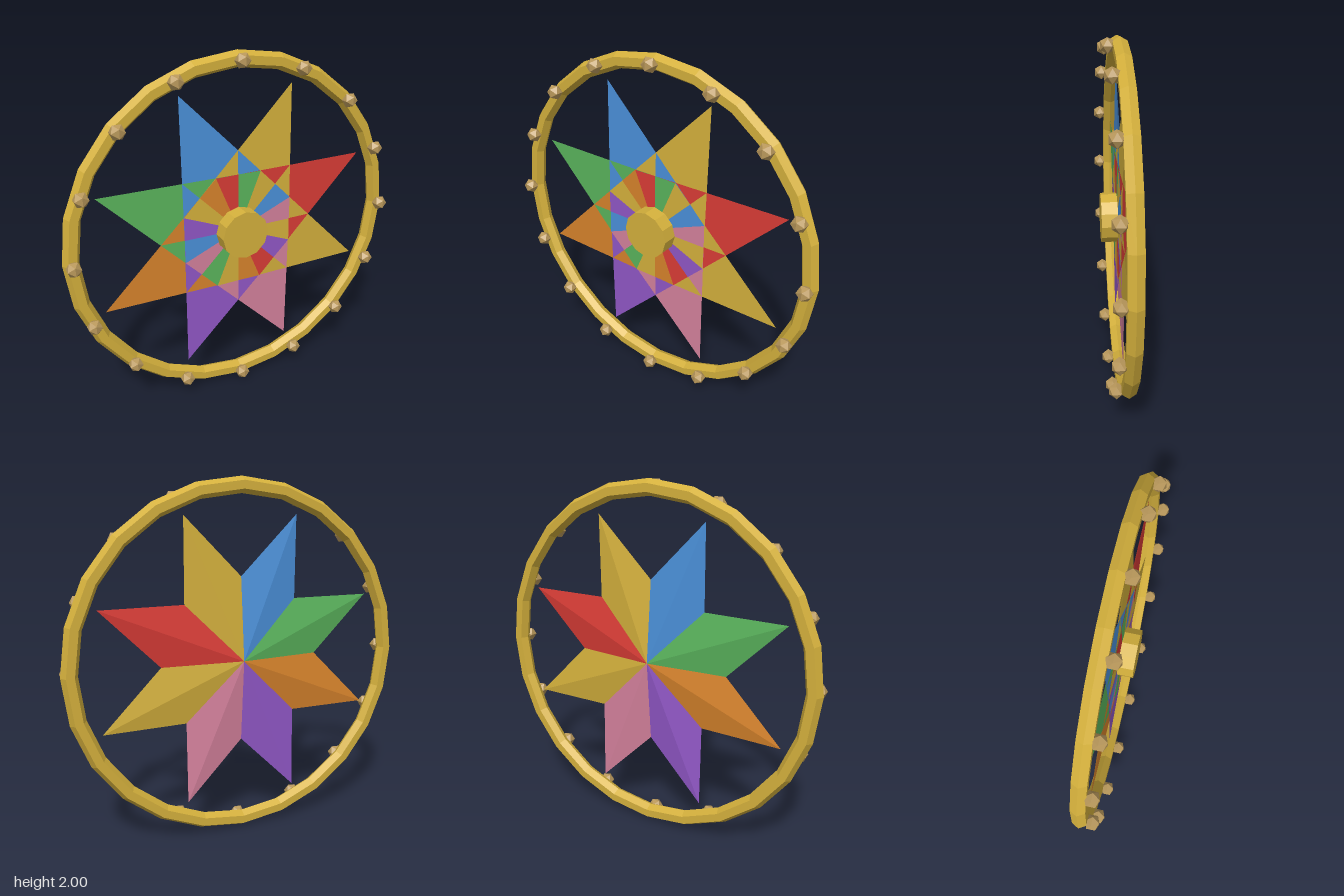
import * as THREE from 'three';

function mat(name, color) {
  const m = new THREE.MeshStandardMaterial({ color, flatShading: true });
  m.name = name;
  return m;
}

export function createModel() {
  const group = new THREE.Group();
  group.name = 'starWheel';

  const gold = mat('gold', 0xd4b03c);
  const bronze = mat('bronze', 0xb8975a);
  const red = mat('red', 0xd93c36);
  const blue = mat('blue', 0x4a90d9);
  const green = mat('green', 0x5ab45c);
  const orange = mat('orange', 0xd8842c);
  const purple = mat('purple', 0x9258c8);
  const pink = mat('pink', 0xd6829e);

  const planeZ = -0.034; // middle plane of ring and star
  const ringR = 0.955;

  function add(name, geometry, material, x = 0, y = 0, z = 0) {
    const mesh = new THREE.Mesh(geometry, material);
    mesh.name = name;
    mesh.position.set(x, y + 1, z);
    group.add(mesh);
    return mesh;
  }

  // Outer ring with a six-sided section
  add('ring', new THREE.TorusGeometry(ringR, 0.045, 6, 24), gold, 0, 0, planeZ);

  // Eight flattened three-sided spikes, all starting at the centre, ridge to the back
  const spikeLength = 0.866;
  const halfWidth = spikeLength * Math.tan(Math.PI / 8);
  const spike = new THREE.ConeGeometry(halfWidth * 2 / Math.sqrt(3), spikeLength, 3);
  spike.translate(0, spikeLength / 2, 0);
  spike.rotateY(Math.PI);
  spike.scale(1, 1, 0.082);
  [red, gold, blue, green, orange, purple, pink, gold].forEach((material, i) => {
    const angle = Math.PI / 8 + i * Math.PI / 4;
    add('starSpike', spike, material, 0, 0, planeZ).rotation.z = angle - Math.PI / 2;
  });

  // Central hub on the front
  const hub = new THREE.CylinderGeometry(0.14, 0.14, 0.104, 12);
  hub.rotateX(Math.PI / 2);
  add('hub', hub, gold, 0, 0, 0.02);

  // Sixteen studs on the front of the ring
  const stud = new THREE.IcosahedronGeometry(0.044, 0);
  for (let i = 0; i < 16; i++) {
    const a = i * Math.PI / 8;
    add('stud', stud, bronze, Math.cos(a) * ringR, Math.sin(a) * ringR, 0.03);
  }

  return group;
}
